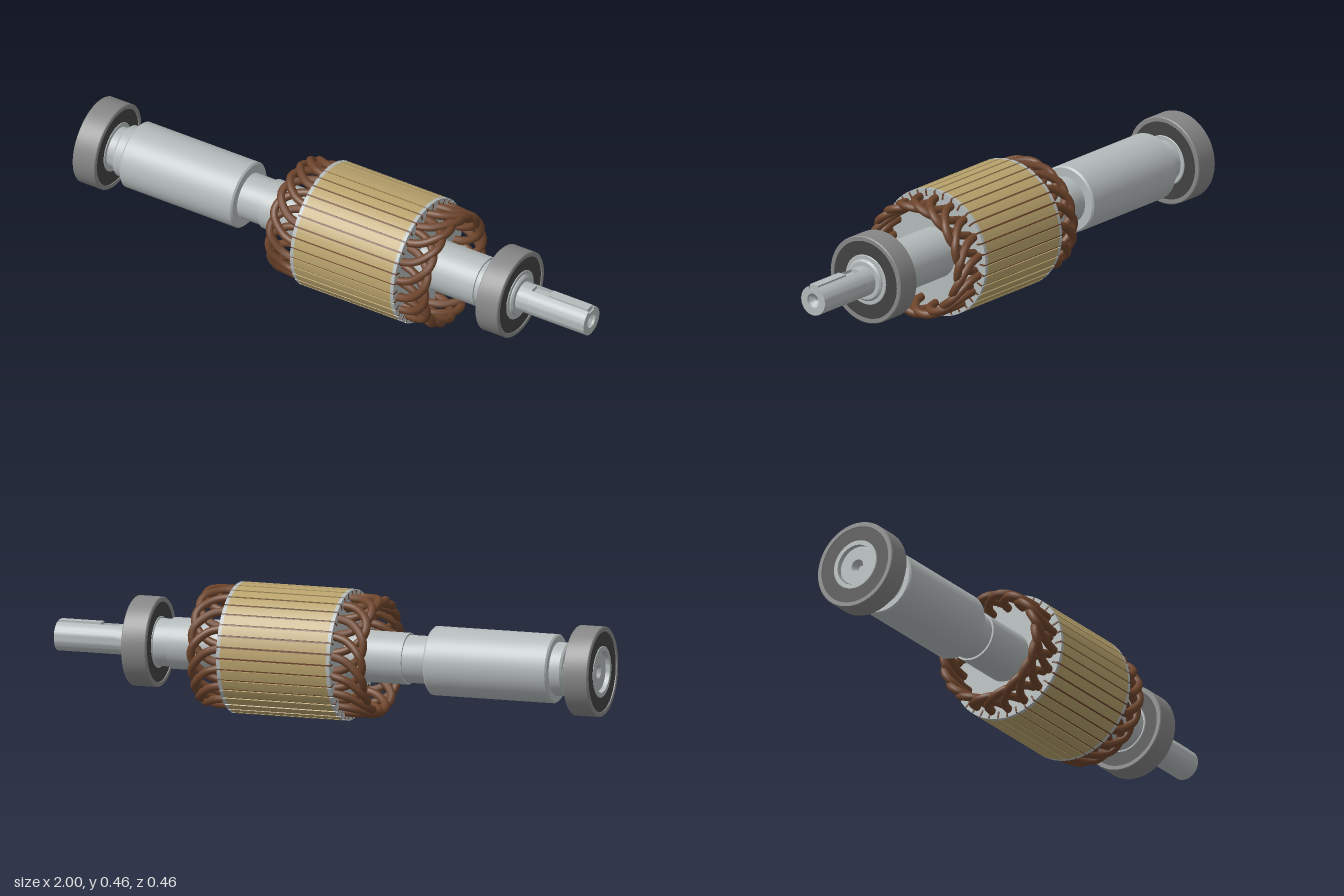
import * as THREE from 'three';
import { toCreasedNormals } from 'three/addons/utils/BufferGeometryUtils.js';

const AXIS_Y = 0.228, SLOTS = 36, LOOPS = 18, CORE_MID = 0.13;

const material = (name, color) => {
  const m = new THREE.MeshStandardMaterial({ color });
  m.name = name;
  return m;
};

export function createModel() {
  const steel = material('steel', 0xb4babb);
  const race = material('bearing grey', 0x868686);
  const seal = material('dark seal', 0x424242);
  const copper = material('copper brown', 0x6e452c);
  const gold = material('core gold', 0xb8a26c);

  const model = new THREE.Group();
  model.name = 'rotor';
  const rotor = new THREE.Group();
  rotor.name = 'rotorAssembly';
  rotor.position.y = AXIS_Y;
  model.add(rotor);

  const add = (parent, name, geometry, mat) => {
    const mesh = new THREE.Mesh(geometry, mat);
    mesh.name = name;
    parent.add(mesh);
    return mesh;
  };
  // Turned part along x, from [x, radius] pairs
  const turned = (pairs) => toCreasedNormals(
    new THREE.LatheGeometry(pairs.map(([x, r]) => new THREE.Vector2(r, x)), 48).rotateZ(-Math.PI / 2), 0.4);
  // Flat outline in the y-z plane, extruded along x
  const extruded = (shape, x, length) => toCreasedNormals(
    new THREE.ExtrudeGeometry(shape, { depth: length, bevelEnabled: false, curveSegments: 24 })
      .rotateY(Math.PI / 2).translate(x, 0, 0), 0.4);

  // Stepped shaft with a centre hole in its left end
  add(rotor, 'shaft', turned([
    [-0.96, 0], [-0.96, 0.01], [-0.985, 0.024], [-0.985, 0.068], [-0.978, 0.075],
    [-0.88, 0.075], [-0.88, 0.087], [-0.873, 0.093], [-0.835, 0.093],
    [-0.835, 0.114], [-0.829, 0.12], [-0.386, 0.12], [-0.38, 0.114],
    [-0.38, 0.083], [-0.29, 0.083], [-0.29, 0.09], [0.575, 0.09],
    [0.575, 0.083], [0.63, 0.083], [0.63, 0.075], [0.718, 0.075], [0.724, 0.068],
    [0.724, 0.053], [0.77, 0.053], [0.77, 0],
  ]), steel);

  // Drive end with a keyway and a conical centre hole
  const slotHalf = 0.017, slotFloor = 0.04, endR = 0.053;
  const edge = Math.acos(slotHalf / endR);
  const endShape = new THREE.Shape();
  endShape.moveTo(slotHalf, slotFloor);
  endShape.lineTo(-slotHalf, slotFloor);
  endShape.absarc(0, 0, endR, Math.PI - edge, Math.PI * 2 + edge, false);
  endShape.closePath();
  const hole = new THREE.Path();
  hole.absarc(0, 0, 0.026, 0, Math.PI * 2, true);
  endShape.holes.push(hole);
  add(rotor, 'driveEnd', extruded(endShape, 0.77, 0.23), steel);
  add(rotor, 'centreHole', turned([
    [1, 0.026], [0.992, 0.024], [0.975, 0.009], [0.95, 0.009], [0.95, 0],
  ]), steel);
  add(rotor, 'key', new THREE.BoxGeometry(0.155, 0.017, slotHalf * 2)
    .translate(0.9175, slotFloor + 0.0085, 0), steel);

  // Ball bearings: outer race, inner race and seals
  const ring = (x, half, inner, outer, c) => turned([
    [x - half, inner], [x - half, outer - c], [x - half + c, outer],
    [x + half - c, outer], [x + half, outer - c], [x + half, inner], [x - half, inner],
  ]);
  for (const [name, x] of [['leftBearing', -0.955], ['rightBearing', 0.67]]) {
    const bearing = new THREE.Group();
    bearing.name = name;
    rotor.add(bearing);
    add(bearing, 'outerRace', ring(x, 0.045, 0.14, 0.157, 0.003), race);
    add(bearing, 'seal', ring(x, 0.041, 0.088, 0.142, 0.001), seal);
    add(bearing, 'innerRace', ring(x, 0.044, 0.073, 0.09, 0.002), steel);
  }

  // Slotted core outline
  const step = Math.PI * 2 / SLOTS, R = 0.228, gap = 0.0032, depth = 0.024;
  const outline = [];
  const corner = (r, a) => outline.push(new THREE.Vector2(r * Math.sin(a), r * Math.cos(a)));
  for (let i = 0; i < SLOTS; i++) {
    const a = i * step, da = gap / R, di = gap / (R - depth);
    corner(R - depth, a - di);
    corner(R - depth, a + di);
    for (let k = 0; k <= 3; k++) corner(R, a + da + (step - 2 * da) * k / 3);
  }
  const coreShape = new THREE.Shape(outline);
  add(rotor, 'core', extruded(coreShape, -0.065, 0.39), [steel, gold]);
  for (const x of [-0.078, 0.325]) add(rotor, 'endLamination', extruded(coreShape, x, 0.013), steel);

  // Slot liners
  for (let i = 0; i < SLOTS; i++) {
    add(rotor, 'slotLiner', new THREE.BoxGeometry(0.42, 0.022, gap * 1.9)
      .translate(CORE_MID, 0.213, 0).rotateX(i * step), copper);
  }

  // End windings: each loop leaves an outer slot layer and returns to an inner one
  const span = Math.PI / 3;
  const loopPath = [
    [0.18, 0.2, 0], [0.255, 0.2, 0.1], [0.306, 0.198, 0.34],
    [0.315, 0.192, 0.5], [0.306, 0.186, 0.66], [0.255, 0.183, 0.9], [0.18, 0.183, 1],
  ];
  for (const side of [1, -1]) {
    const winding = new THREE.Group();
    winding.name = side > 0 ? 'rightEndWinding' : 'leftEndWinding';
    rotor.add(winding);
    const curve = new THREE.CatmullRomCurve3(loopPath.map(([x, r, t]) => new THREE.Vector3(
      CORE_MID + side * x, r * Math.cos(t * span), -r * Math.sin(t * span))));
    const loop = new THREE.TubeGeometry(curve, 28, 0.0145, 10);
    for (let i = 0; i < LOOPS; i++) {
      add(winding, 'windingLoop', loop, copper).rotation.x = i * Math.PI * 2 / LOOPS;
    }
  }
  return model;
}
